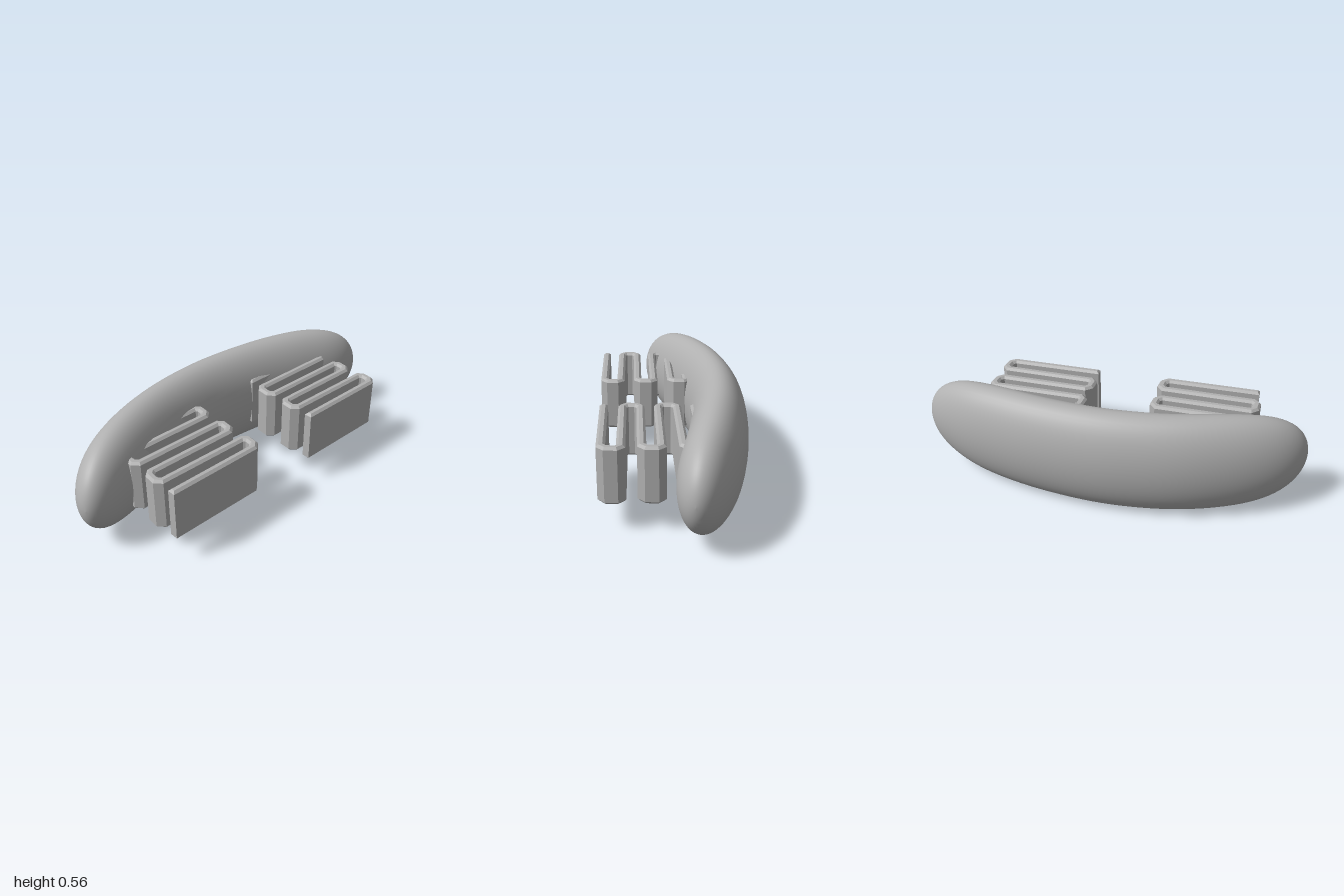
import * as THREE from 'three';

const grey = new THREE.MeshStandardMaterial({ color: 0xb0b0b0 });
grey.name = 'plain grey';

// Curved, blunt-ended body lofted from upright ellipses along a bowed centre line
function bodyGeometry() {
  const path = new THREE.CatmullRomCurve3([
    [-0.215, -1], [-0.245, -0.8], [-0.275, -0.6], [-0.294, -0.3], [-0.278, 0],
    [-0.24, 0.2], [-0.178, 0.4], [-0.085, 0.6], [0.035, 0.8], [0.175, 0.98],
  ].map(([x, z]) => new THREE.Vector3(x, 0.285, z)));
  const rings = 64, sides = 48, positions = [], index = [];
  for (let i = 0; i <= rings; i++) {
    const t = -Math.cos((Math.PI * i) / rings);
    const u = (t + 1) / 2;
    const p = path.getPointAt(u), dir = path.getTangentAt(u);
    const swell = Math.sqrt(Math.max(0, 1 - Math.abs(t) ** 6));
    const w = 0.147 * swell;
    const h = (0.28 - 0.012 * t * t) * swell;
    for (let j = 0; j < sides; j++) {
      const a = (2 * Math.PI * j) / sides;
      const s = w * Math.cos(a);
      positions.push(p.x + s * dir.z, p.y + h * Math.sin(a), p.z - s * dir.x);
      if (i === rings) continue;
      const k = (j + 1) % sides, r = i * sides, n = r + sides;
      index.push(r + j, r + k, n + j, r + k, n + k, n + j);
    }
  }
  const g = new THREE.BufferGeometry();
  g.setAttribute('position', new THREE.Float32BufferAttribute(positions, 3));
  g.setIndex(index);
  g.computeVertexNormals();
  return g;
}

// Cut each bend of an open path at a slant
function chamfer(points, cut) {
  const out = [points[0]];
  for (let i = 1; i < points.length - 1; i++) {
    for (const q of [points[i - 1], points[i + 1]]) {
      const d = q.clone().sub(points[i]).setLength(cut);
      out.push(points[i].clone().add(d));
    }
  }
  out.push(points[points.length - 1]);
  return out;
}

// Shift an open path sideways, mitred at its bends
function offset(points, dist) {
  return points.map((p, i) => {
    const a = points[Math.max(i - 1, 0)], b = points[Math.min(i + 1, points.length - 1)];
    const d1 = (i > 0 ? p.clone().sub(a) : b.clone().sub(p)).normalize();
    const d2 = (i < points.length - 1 ? b.clone().sub(p) : d1.clone()).normalize();
    const n1 = new THREE.Vector2(-d1.y, d1.x), n2 = new THREE.Vector2(-d2.y, d2.x);
    const m = n1.clone().add(n2).normalize();
    return p.clone().add(m.multiplyScalar(dist / m.dot(n1)));
  });
}

// Folded upright ribbon with bevelled rims
function ribbonGeometry() {
  const folds = [
    [-0.165, -0.18], [-0.235, -0.69], [-0.148, -0.695], [-0.077, -0.185], [0.018, -0.19],
    [-0.053, -0.712], [0.037, -0.715], [0.105, -0.205], [0.195, -0.21], [0.128, -0.735],
    [0.217, -0.738], [0.289, -0.22],
  ].map(([x, z]) => new THREE.Vector2(x, -z));
  const line = chamfer(folds, 0.022);
  const half = 0.021, bevel = 0.012, height = 0.28;
  const shape = new THREE.Shape([...offset(line, half), ...offset(line, -half).reverse()]);
  const g = new THREE.ExtrudeGeometry(shape, {
    depth: height - 2 * bevel, bevelEnabled: true, bevelSegments: 1,
    bevelSize: bevel, bevelThickness: bevel, bevelOffset: -bevel,
  });
  g.rotateX(-Math.PI / 2);
  g.translate(0, 0.145 + bevel, 0);
  return g;
}

export function createModel() {
  const model = new THREE.Group();
  model.name = 'curvedBodyWithFoldedRibbons';

  const body = new THREE.Mesh(bodyGeometry(), grey);
  body.name = 'curvedBody';
  model.add(body);

  // Two identical ribbons on the inner side of the curve
  const ribbon = ribbonGeometry();
  [['backRibbon', 0, 0], ['frontRibbon', 0.13, 0.89]].forEach(([name, x, z]) => {
    const mesh = new THREE.Mesh(ribbon, grey);
    mesh.name = name;
    mesh.position.set(x, 0, z);
    model.add(mesh);
  });
  return model;
}
